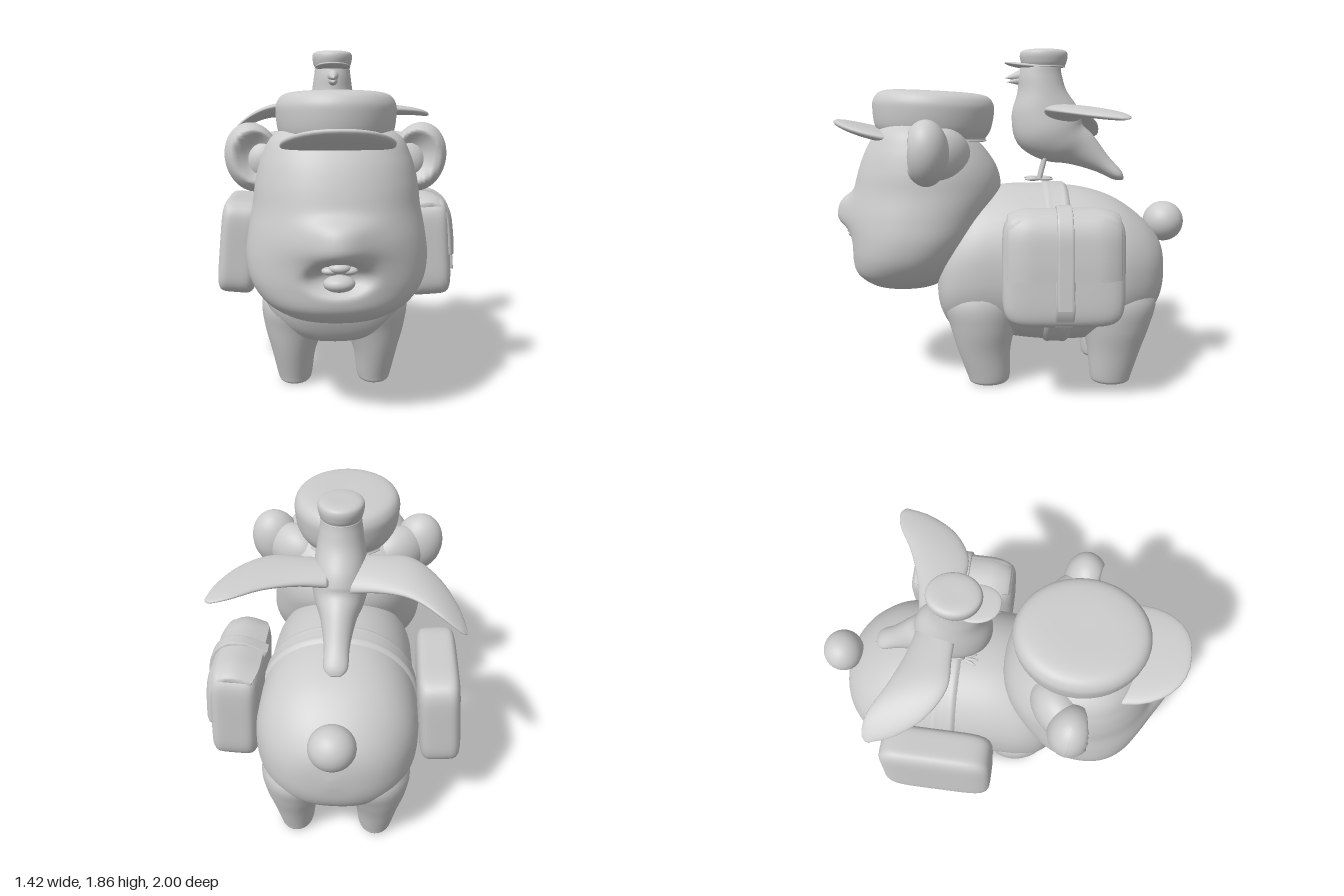
import * as THREE from 'three';
import { toCreasedNormals } from 'three/addons/utils/BufferGeometryUtils.js';

const grey = new THREE.MeshStandardMaterial({ color: 0xcccccc, side: THREE.DoubleSide });

function add(parent, name, geo, x = 0, y = 0, z = 0) {
  const m = new THREE.Mesh(geo, grey);
  m.name = name;
  m.position.set(x, y, z);
  parent.add(m);
  return m;
}

// Catmull-Rom interpolation of a table of section rows, t in 0..1
function sample(rows, t) {
  const f = t * (rows.length - 1), i = Math.min(Math.floor(f), rows.length - 2), k = f - i;
  const a = rows[Math.max(i - 1, 0)], b = rows[i], c = rows[i + 1], d = rows[Math.min(i + 2, rows.length - 1)];
  return b.map((v, j) => v + 0.5 * k * (c[j] - a[j] + k * (2 * a[j] - 5 * v + 4 * c[j] - d[j] + k * (3 * (v - c[j]) + d[j] - a[j]))));
}

// Smooth closed skin through sections; point(row, cos, sin) gives [x, y, z]
function loft(rows, point, rings = 48, segs = 48) {
  const pos = [], idx = [];
  for (let i = 0; i <= rings; i++) {
    const row = sample(rows, i / rings);
    for (let j = 0; j < segs; j++) {
      const a = (j / segs) * Math.PI * 2;
      pos.push(...point(row, Math.cos(a), Math.sin(a)));
    }
  }
  for (let i = 0; i < rings; i++) for (let j = 0; j < segs; j++) {
    const a = i * segs + j, b = i * segs + (j + 1) % segs;
    idx.push(a, b, a + segs, b, b + segs, a + segs);
  }
  // end caps
  for (const i of [0, rings]) for (let j = 1; j < segs - 1; j++) {
    const o = i * segs;
    idx.push(...(i ? [o, o + j, o + j + 1] : [o, o + j + 1, o + j]));
  }
  // make the faces point outward
  const P = (i) => new THREE.Vector3().fromArray(pos, i * 3);
  let volume = 0;
  for (let i = 0; i < idx.length; i += 3) volume += P(idx[i]).dot(P(idx[i + 1]).cross(P(idx[i + 2])));
  if (volume < 0) idx.reverse();
  const g = new THREE.BufferGeometry();
  g.setAttribute('position', new THREE.Float32BufferAttribute(pos, 3));
  g.setIndex(idx);
  g.computeVertexNormals();
  return g;
}

const power = (v, p) => Math.sign(v) * Math.abs(v) ** p;
const ball = (rx, ry, rz, segs = 32) => new THREE.SphereGeometry(1, segs, segs).scale(rx, ry, rz);

// Move every vertex by a rule (x, y, z) => [x, y, z]
function reshape(g, rule) {
  const p = g.attributes.position;
  for (let i = 0; i < p.count; i++) p.setXYZ(i, ...rule(p.getX(i), p.getY(i), p.getZ(i)));
  g.computeVertexNormals();
  return g;
}

// Soft, slightly bulging box
const pillow = (w, h, d) => reshape(ball(1, 1, 1, 64), (x, y, z) => {
  const k = 0.5 / (x ** 6 + y ** 6 + z ** 6) ** (1 / 6);
  return [x * k * w, y * k * h, z * k * d];
});

// Bent strip of material: a centre line in xy, extruded along z, pulled in towards its ends
function strip(points, thick, width) {
  const curve = new THREE.SplineCurve(points.map((p) => new THREE.Vector2(...p)));
  const outer = [], inner = [];
  for (let i = 0; i <= 24; i++) {
    const p = curve.getPoint(i / 24), t = curve.getTangent(i / 24);
    outer.push(new THREE.Vector2(p.x - t.y * thick / 2, p.y + t.x * thick / 2));
    inner.unshift(new THREE.Vector2(p.x + t.y * thick / 2, p.y - t.x * thick / 2));
  }
  const b = 0.008;
  const g = new THREE.ExtrudeGeometry(new THREE.Shape([...outer, ...inner]),
    { depth: width - 2 * b, steps: 20, bevelSize: b, bevelThickness: b, bevelSegments: 2 }).translate(0, 0, b - width / 2);
  return toCreasedNormals(reshape(g, (x, y, z) => {
    const e = (Math.max(0, Math.abs(z) - 0.16) / 0.13) ** 2;
    return [x * (1 - 0.24 * e), y * (1 - 0.11 * e), z];
  }), 0.7);
}

// Peaked cap: puffed crown plus a visor that curves up to the front
function makeCap(name, rx, rz, profile, visor) {
  const cap = new THREE.Group();
  cap.name = name;
  const pts = new THREE.SplineCurve(profile.map((p) => new THREE.Vector2(...p))).getPoints(40);
  pts.forEach((p) => { p.x = Math.max(p.x, 0); });
  add(cap, 'capCrown', new THREE.LatheGeometry(pts, 48).scale(rx, 1, rz));
  add(cap, 'capVisor', reshape(ball(1, 1, 1), (x, y, z) =>
    [power(x, 0.85) * visor.rx, power(y, 0.8) * visor.t + (z + 0.5 * z * z) * visor.rise, z * visor.rz]), 0, visor.y, visor.z);
  return cap;
}

// [z, bottom, top, half width]
const bodyRows = [[0.425, 0.5, 0.6, 0.04], [0.4, 0.4, 0.75, 0.25], [0.34, 0.3, 0.93, 0.355], [0.22, 0.258, 1.05, 0.4],
  [0.05, 0.24, 1.1, 0.41], [-0.17, 0.215, 1.105, 0.42], [-0.4, 0.22, 1.085, 0.44], [-0.58, 0.255, 1.03, 0.425],
  [-0.72, 0.31, 0.94, 0.36], [-0.81, 0.39, 0.85, 0.27], [-0.86, 0.48, 0.77, 0.16], [-0.88, 0.6, 0.66, 0.02]];
// the flanks are fuller below the middle
const bodyPoint = ([z, lo, hi, w], c, s) =>
  [w * power(c, s < 0 ? 0.82 : 0.9) * (s < 0 ? 1 - 0.06 * s : 1), (lo + hi) / 2 + (hi - lo) / 2 * power(s, 0.95), z];

// [y, back, front, half width]
const headRows = [[0.52, 0.56, 0.64, 0.03], [0.535, 0.43, 0.77, 0.2], [0.57, 0.365, 0.84, 0.29], [0.63, 0.3, 0.89, 0.37],
  [0.72, 0.235, 0.902, 0.43], [0.83, 0.165, 0.903, 0.452], [0.95, 0.105, 0.903, 0.442], [1.08, 0.06, 0.885, 0.42],
  [1.2, 0.08, 0.858, 0.405], [1.32, 0.16, 0.81, 0.37], [1.42, 0.27, 0.74, 0.31], [1.49, 0.38, 0.62, 0.17], [1.51, 0.48, 0.52, 0.02]];
function headPoint([y, back, front, w], c, s) {
  const x = w * power(c, 0.9);
  let z = (back + front) / 2 + (front - back) / 2 * power(s, 0.92);
  if (s > 0) {
    z += 0.03 * Math.exp(-((x / 0.26) ** 2) - ((y - 0.93) / 0.13) ** 2); // muzzle
    z += 0.062 * Math.exp(-((x / 0.13) ** 2) - ((y - 0.96) / 0.095) ** 4); // nose
    z -= 0.075 * Math.exp(-(((x / 0.14) ** 2 + ((y - 0.78) / 0.07) ** 2) ** 2)); // open mouth
  }
  return [x, y, z];
}

// Round ear with a hollow at the front, set towards the head
const makeEar = (side) => reshape(ball(1, 1, 1), (x, y, z) => {
  const inward = x * side + 0.25;
  const dish = z > 0 ? 0.9 * Math.max(0, 1 - (inward * inward + y * y) / 0.55) : 0;
  return [x * 0.14, y * 0.175, (z - dish) * 0.12];
}).rotateZ(-0.2 * side).rotateY(0.15 * side);

function makeBird() {
  const bird = new THREE.Group();
  bird.name = 'bird';
  // head to tail: [z, y, depth radius, half width, tilt]
  const rows = [[-0.17, 1.81, 0.03, 0.03, 0], [-0.17, 1.79, 0.1, 0.09, 0], [-0.165, 1.72, 0.122, 0.105, 0],
    [-0.175, 1.63, 0.138, 0.118, 0.05], [-0.19, 1.52, 0.187, 0.135, 0.15], [-0.22, 1.41, 0.197, 0.145, 0.4],
    [-0.3, 1.34, 0.15, 0.125, 0.75], [-0.4, 1.3, 0.108, 0.09, 0.85], [-0.52, 1.22, 0.058, 0.065, 0.85],
    [-0.61, 1.155, 0.035, 0.06, 0.85], [-0.645, 1.13, 0.008, 0.025, 0.85]];
  add(bird, 'birdBody', loft(rows, ([z, y, r, w, a], c, s) => [w * c, y - r * s * Math.sin(a), z + r * s * Math.cos(a)]));
  // [x, leading z, trailing z, y, half thickness]
  const wing = [[0.05, -0.18, -0.39, 1.5, 0.05], [0.2, -0.18, -0.42, 1.515, 0.04], [0.36, -0.18, -0.48, 1.52, 0.032],
    [0.5, -0.27, -0.56, 1.51, 0.024], [0.59, -0.41, -0.58, 1.495, 0.017], [0.625, -0.53, -0.56, 1.485, 0.006]];
  for (const side of [1, -1]) {
    const droop = side > 0 ? 0 : 1.1, twist = side > 0 ? 0.2 : 0.8;
    add(bird, side > 0 ? 'leftWing' : 'rightWing', loft(wing, ([x, l, t, y, h], c, s) =>
      [side * x, y + h * (s + twist * c) - droop * Math.max(0, x - 0.28) ** 2, (l + t) / 2 + (l - t) / 2 * c], 32, 32));
    // leg and toes
    const x = side * 0.05;
    add(bird, 'birdLeg', new THREE.TubeGeometry(
      new THREE.LineCurve3(new THREE.Vector3(x, 1.28, -0.2), new THREE.Vector3(x, 1.14, -0.165)), 1, 0.012, 10));
    for (const [dx, dz] of [[-0.03, 0.07], [0, 0.085], [0.03, 0.07], [0, -0.06]]) {
      const toe = add(bird, 'birdToe', ball(0.009, 0.009, 0.045, 12), x + dx / 2, 1.135, -0.165 + dz / 2);
      toe.rotation.y = Math.atan2(dx, dz);
    }
  }
  // beak, two halves
  for (const [y, len, r] of [[1.71, 0.11, 0.042], [1.685, 0.085, 0.034]])
    add(bird, 'beak', new THREE.ConeGeometry(r, len, 20).rotateX(Math.PI / 2 + 0.15), 0, y, -0.02);
  const cap = makeCap('birdCap', 0.115, 0.135,
    [[0, 0.1], [0.6, 0.1], [0.92, 0.09], [1, 0.065], [0.95, 0.03], [0.88, 0.01], [0.82, 0], [0, 0]],
    { rx: 0.1, rz: 0.12, t: 0.014, rise: 0.012, y: 0.008, z: 0.1 });
  cap.position.set(0, 1.76, -0.185);
  bird.add(cap);
  return bird;
}

function makePack(name, w, h, d) {
  const pack = new THREE.Group();
  pack.name = name;
  add(pack, 'packBag', pillow(w, h, d));
  return pack;
}

export function createModel() {
  const model = new THREE.Group();
  const bear = new THREE.Group();
  bear.name = 'packAnimal';
  bear.position.x = -0.04;
  model.add(bear);

  add(bear, 'body', loft(bodyRows, bodyPoint, 56, 56));
  add(bear, 'tail', ball(0.12, 0.115, 0.115), 0, 0.885, -0.885);

  // legs: [y, x, x radius, z, z radius]
  const front = [[0, 0.225, 0.06, 0.13, 0.075], [0.012, 0.225, 0.085, 0.13, 0.105], [0.05, 0.225, 0.098, 0.13, 0.12], [0.2, 0.23, 0.125, 0.155, 0.148],
    [0.34, 0.22, 0.17, 0.16, 0.185], [0.48, 0.195, 0.208, 0.165, 0.222], [0.62, 0.17, 0.18, 0.15, 0.19]];
  const hind = front.map(([y, x, rx], i) => [y, x, rx, [-0.56, -0.56, -0.56, -0.575, -0.585, -0.585, -0.57][i], [0.075, 0.105, 0.118, 0.15, 0.19, 0.225, 0.18][i]]);
  for (const side of [1, -1]) for (const [name, rows] of [['frontLeg', front], ['hindLeg', hind]])
    add(bear, name, loft(rows, ([y, x, rx, z, rz], c, s) => [side * (x + rx * c), y, z + rz * s], 32, 36));

  // head with ears and mouth
  add(bear, 'head', loft(headRows, headPoint, 110, 128));
  for (const side of [1, -1]) {
    add(bear, 'ear', makeEar(side), side * 0.42, 1.305, 0.445);
    add(bear, 'earRoot', ball(0.18, 0.15, 0.12).rotateY(-0.65 * side), side * 0.305, 1.28, 0.365);
    add(bear, 'tooth', ball(0.042, 0.02, 0.03), side * 0.042, 0.825, 0.9);
  }
  add(bear, 'upperLip', ball(0.05, 0.025, 0.035), 0, 0.84, 0.91);
  add(bear, 'tongue', ball(0.075, 0.04, 0.06), 0, 0.75, 0.845);

  const cap = makeCap('cap', 0.305, 0.345,
    [[0, 0.25], [0.55, 0.25], [0.86, 0.235], [0.98, 0.19], [0.99, 0.13], [0.95, 0.05], [0.87, 0], [0.82, -0.02], [0, -0.02]],
    { rx: 0.275, rz: 0.3, t: 0.036, rise: 0.045, y: -0.012, z: 0.255 });
  cap.position.set(0, 1.38, 0.445);
  cap.rotation.x = -0.05;
  bear.add(cap);

  // girth strap around the body
  const girth = [];
  for (let i = 0; i <= 6; i++) {
    const [z, lo, hi, w] = sample(bodyRows, (4.98 + i * 0.115) / (bodyRows.length - 1));
    const e = i % 6 ? 0.014 : -0.01;
    girth.push([z, lo - e, hi + e, w + e]);
  }
  add(bear, 'girthStrap', loft(girth, bodyPoint, 18, 64));

  // plain pack on the right side
  const plain = makePack('rightPack', 0.23, 0.55, 0.625);
  plain.position.set(-0.545, 0.74, -0.255);
  plain.rotation.z = -0.09;
  bear.add(plain);

  // flapped pack with a buckle strap on the left side
  const flapped = makePack('leftPack', 0.27, 0.58, 0.62);
  add(flapped, 'packFlap', strip([[-0.11, 0.26], [0, 0.285], [0.085, 0.262], [0.13, 0.19], [0.142, 0.06], [0.142, -0.04]], 0.03, 0.57));
  add(flapped, 'packStrap', strip([[-0.13, 0.26], [0, 0.302], [0.095, 0.278], [0.15, 0.195], [0.16, 0.05], [0.165, -0.18]], 0.022, 0.08));
  add(flapped, 'packLowerStrap', strip([[0.13, 0.1], [0.137, -0.1], [0.127, -0.2], [0.09, -0.268]], 0.022, 0.1));
  flapped.position.set(0.55, 0.73, -0.255);
  flapped.rotation.z = 0.06;
  bear.add(flapped);

  bear.add(makeBird());
  return model;
}
